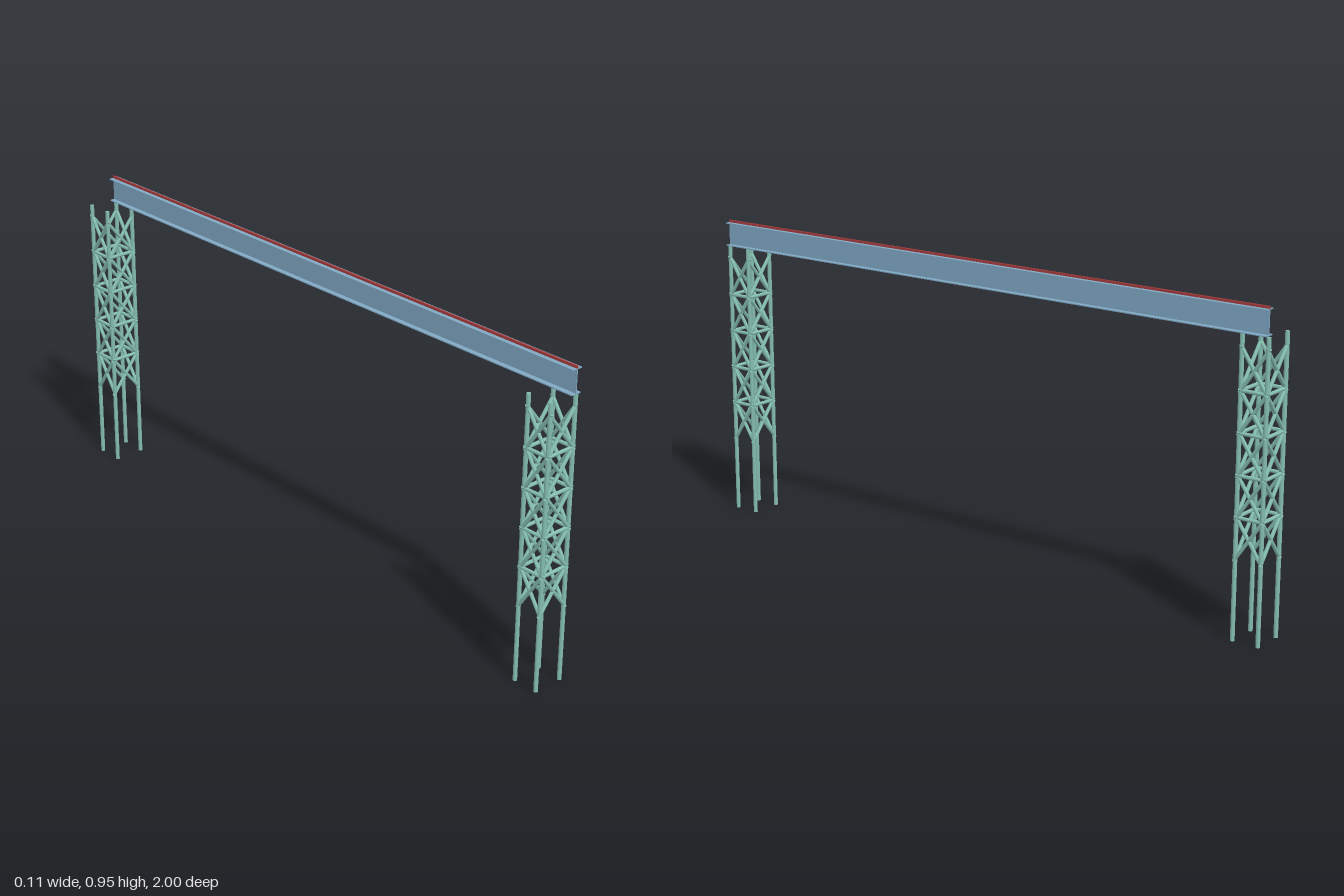
import * as THREE from 'three';

const LEG_X = 0.0475, LEG_R = 0.0065, LEG_H = 0.873, BRACE_R = 0.0055;
const PANEL_Y = 0.239, PANEL_H = 0.119, PANELS = 5;

const steel = new THREE.MeshStandardMaterial({ color: 0x84bdb0 });
const blue = new THREE.MeshStandardMaterial({ color: 0x80a8c4 });
const red = new THREE.MeshStandardMaterial({ color: 0xa83c3c });

// Round tube between two points, lengthened by `extra` at both ends
function tube(name, a, b, r, extra = 0) {
  const dir = b.clone().sub(a);
  const mesh = new THREE.Mesh(new THREE.CylinderGeometry(r, r, dir.length() + 2 * extra, 12), steel);
  mesh.position.copy(a).add(b).multiplyScalar(0.5);
  mesh.quaternion.setFromUnitVectors(new THREE.Vector3(0, 1, 0), dir.normalize());
  mesh.name = name;
  return mesh;
}

// Four-legged lattice tower
function tower(name, zOuter, zInner) {
  const g = new THREE.Group();
  g.name = name;
  const zMax = Math.max(zOuter, zInner), zMin = Math.min(zOuter, zInner);
  const corners = [[-LEG_X, zMax], [LEG_X, zMax], [LEG_X, zMin], [-LEG_X, zMin]];
  const at = (c, y) => new THREE.Vector3(c[0], y, c[1]);
  corners.forEach((c, i) => {
    const d = corners[(i + 1) % 4];
    g.add(tube('leg', at(c, 0), at(c, LEG_H), LEG_R));
    for (let p = 0; p < PANELS; p++) {
      const y0 = PANEL_Y + p * PANEL_H, y1 = y0 + PANEL_H;
      // Crossed diagonals, with a horizontal strut between panels
      g.add(tube('diagonalBrace', at(c, y0), at(d, y1), BRACE_R, 0.008));
      g.add(tube('diagonalBrace', at(d, y0), at(c, y1), BRACE_R));
      if (p > 0) g.add(tube('horizontalStrut', at(c, y0), at(d, y0), BRACE_R));
    }
  });
  return g;
}

export function createModel() {
  const model = new THREE.Group();
  model.add(tower('frontTower', 0.99, 0.912), tower('backTower', -0.9935, -0.912));

  // I-beam spanning the towers along their +x side, with a rail on top
  const beam = new THREE.Group();
  beam.name = 'runwayBeam';
  const zFront = 1, zBack = -0.987;
  const bar = (name, w, y0, y1, mat) => {
    const mesh = new THREE.Mesh(new THREE.BoxGeometry(w, y1 - y0, zFront - zBack), mat);
    mesh.position.set(0.037, (y0 + y1) / 2, (zFront + zBack) / 2);
    mesh.name = name;
    beam.add(mesh);
  };
  bar('bottomFlange', 0.034, 0.873, 0.876, blue);
  bar('web', 0.003, 0.876, 0.944, blue);
  bar('topFlange', 0.034, 0.944, 0.947, blue);
  bar('rail', 0.006, 0.947, 0.954, red);
  model.add(beam);
  return model;
}
